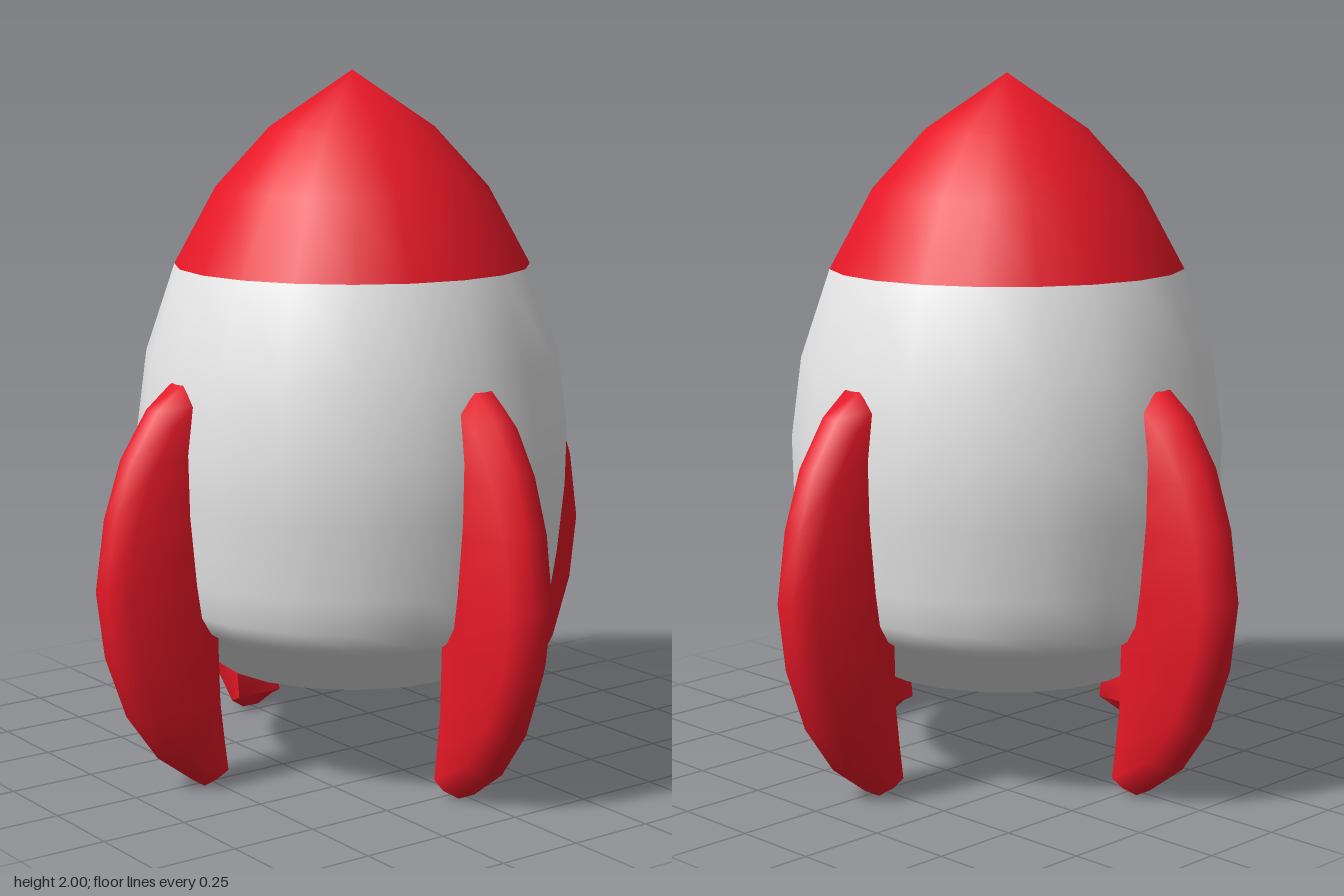
import * as THREE from 'three';
import { mergeVertices, toCreasedNormals } from 'three/addons/utils/BufferGeometryUtils.js';

const red = new THREE.MeshStandardMaterial({ name: 'red paint', color: 0xe81827 });
const white = new THREE.MeshStandardMaterial({ name: 'white paint', color: 0xe6e6e6 });

const SIDES = 20;
const SEAM = 1.45;

// Hull, nozzle and nose turned as one smooth surface;
// triangles above the seam form the red nose group
function hullGeometry() {
  const profile = [
    [0, 0.3], [0.405, 0.3], [0.428, 0.424], [0.51, 0.425], [0.555, 0.455], [0.585, 0.505],
    [0.60, 0.6], [0.62, 0.8], [0.624, 0.97], [0.594, 1.2], [0.51, SEAM], [0.39, 1.67],
    [0.235, 1.84], [0, 2],
  ].map(([r, y]) => new THREE.Vector2(r, y));
  const lathe = new THREE.LatheGeometry(profile, SIDES);
  lathe.deleteAttribute('normal');
  lathe.deleteAttribute('uv');
  const geo = mergeVertices(lathe, 1e-4);
  geo.computeVertexNormals();

  // The nozzle shades softly into its underside
  const pos = geo.attributes.position;
  const n = new THREE.Vector3();
  for (let i = 0; i < pos.count; i++) {
    if (pos.getY(i) > 0.4245) continue;
    n.set(0.9 * pos.getX(i), -1, 0.9 * pos.getZ(i)).normalize();
    geo.attributes.normal.setXYZ(i, n.x, n.y, n.z);
  }

  const index = geo.index.array;
  const body = [], nose = [];
  for (let i = 0; i < index.length; i += 3) {
    const tri = [index[i], index[i + 1], index[i + 2]];
    const low = Math.min(...tri.map((v) => pos.getY(v)));
    (low > SEAM - 0.001 ? nose : body).push(...tri);
  }
  geo.setIndex([...body, ...nose]);
  geo.addGroup(0, body.length, 0);
  geo.addGroup(body.length, nose.length, 1);
  return geo;
}

// Curved fin: six-point sections with a bevelled outer rim, running down the arc
function finGeometry() {
  const half = 0.076, rim = 0.028;
  // outer x, y; bevel x, y; inner x, y
  const sections = [
    [0.56, 1.16, 0.55, 1.11, 0.52, 1.09],
    [0.60, 1.155, 0.585, 1.11, 0.52, 1.06],
    [0.68, 1.09, 0.65, 1.055, 0.52, 0.99],
    [0.765, 0.96, 0.725, 0.935, 0.52, 0.88],
    [0.82, 0.80, 0.777, 0.785, 0.52, 0.75],
    [0.85, 0.60, 0.803, 0.60, 0.52, 0.59],
    [0.825, 0.41, 0.78, 0.425, 0.52, 0.43],
    [0.76, 0.23, 0.72, 0.26, 0.515, 0.25],
    [0.66, 0.09, 0.63, 0.13, 0.502, 0.14],
    [0.54, 0, 0.53, 0.03, 0.49, 0.05],
  ];
  const points = [], faces = [];
  for (const [ox, oy, bx, by, ix, iy] of sections) {
    points.push(ix, iy, -half, bx, by, -half, ox, oy, -rim);
    points.push(ox, oy, rim, bx, by, half, ix, iy, half);
  }
  const last = sections.length - 1;
  for (let s = 0; s < last; s++) {
    for (let k = 0; k < 6; k++) {
      const a = s * 6 + k, b = s * 6 + (k + 1) % 6;
      faces.push(a, b, b + 6, a, b + 6, a + 6);
    }
  }
  // End caps
  for (let k = 1; k < 5; k++) {
    faces.push(0, k + 1, k, last * 6, last * 6 + k, last * 6 + k + 1);
  }
  const geo = new THREE.BufferGeometry();
  geo.setAttribute('position', new THREE.Float32BufferAttribute(points, 3));
  geo.setIndex(faces);
  return toCreasedNormals(geo, 1.1);
}

export function createModel() {
  const rocket = new THREE.Group();
  rocket.name = 'rocket';

  const hull = new THREE.Mesh(hullGeometry(), [white, red]);
  hull.name = 'hullNozzleAndNose';
  rocket.add(hull);

  // Four fins around the hull
  const finShape = finGeometry();
  ['leftFin', 'backFin', 'rightFin', 'frontFin'].forEach((name, i) => {
    const fin = new THREE.Mesh(finShape, red);
    fin.name = name;
    fin.rotation.y = i * Math.PI / 2;
    rocket.add(fin);
  });

  return rocket;
}
